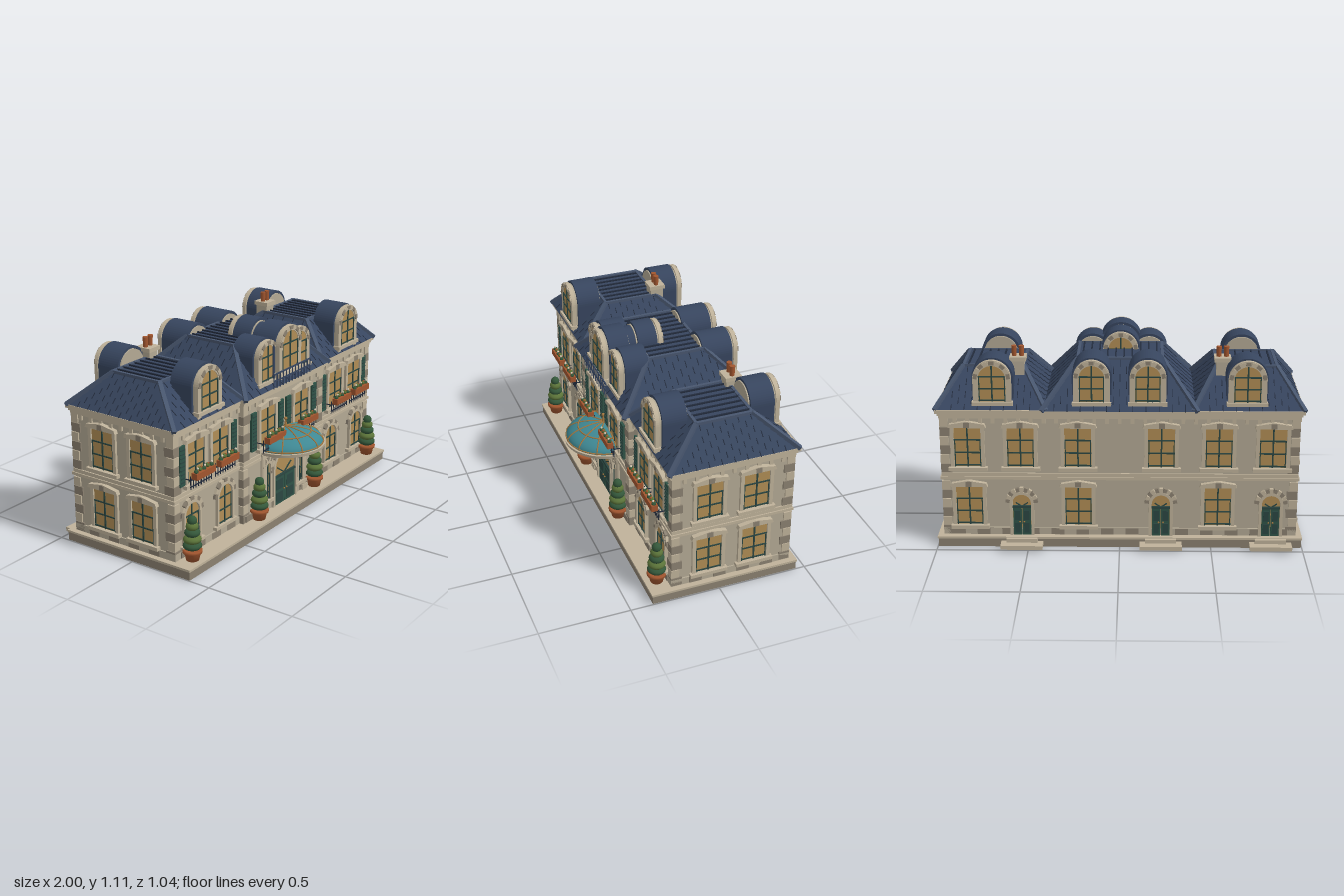
import * as THREE from 'three';
import { mergeGeometries } from 'three/addons/utils/BufferGeometryUtils.js';

const mats = {};
const mat = (c) => (mats[c] ??= new THREE.MeshStandardMaterial({ color: c, side: THREE.DoubleSide }));
const WALL = 0xb3a994, TRIM = 0xbfb29a, DARK = 0x8b8171, GLASS = 0xb08d55, BAR = 0x2b4642, SLATE = 0x37455e,
  SEAM = 0x232c3d, TEAL = 0x3f8893, DOOR = 0x2f5347, CLAY = 0xa2562f, LEAF = 0x5b7339, LEAF2 = 0x34573a, GOLD = 0xa37740;

function add(parent, name, geo, color, x = 0, y = 0, z = 0) {
  const m = new THREE.Mesh(geo, mat(color));
  m.name = name;
  m.position.set(x, y, z);
  parent.add(m);
  return m;
}
// box given by its centre in x and z and by its bottom in y
const box = (p, name, c, w, h, d, x, y, z) => add(p, name, new THREE.BoxGeometry(w, h, d), c, x, y + h / 2, z);
function group(parent, name, x = 0, y = 0, z = 0, ry = 0) {
  const g = new THREE.Group();
  g.name = name;
  g.position.set(x, y, z);
  g.rotation.y = ry;
  parent.add(g);
  return g;
}
const extrude = (shape, depth) => new THREE.ExtrudeGeometry(shape, { depth, bevelEnabled: false, curveSegments: 14 });

// round-headed shape of width w and height h, and the band of thickness t around it
function arch(w, h) {
  const s = new THREE.Shape();
  s.moveTo(-w / 2, 0).lineTo(w / 2, 0).lineTo(w / 2, h - w / 2);
  s.absarc(0, h - w / 2, w / 2, 0, Math.PI, false);
  return s;
}
function archBand(w, h, t) {
  const s = new THREE.Shape(), k = h - w / 2;
  s.moveTo(-w / 2 - t, 0).lineTo(-w / 2 - t, k);
  s.absarc(0, k, w / 2 + t, Math.PI, 0, true);
  s.lineTo(w / 2 + t, 0).lineTo(w / 2, 0).lineTo(w / 2, k);
  s.absarc(0, k, w / 2, 0, Math.PI, false);
  s.lineTo(-w / 2, 0);
  return s;
}
function muntins(g, w, h, z, rows) {
  box(g, 'glazingBar', BAR, 0.008, h, 0.008, 0, 0, z);
  for (const s of [-1, 1]) box(g, 'glazingBar', BAR, 0.005, h * 0.68, 0.008, s * w * 0.47, 0, z);
  rows.forEach((r) => box(g, 'glazingBar', BAR, w, 0.007, 0.008, 0, h * r, z));
}
function voussoirs(g, w, h, t, z, n = 9) {
  const r = w / 2 + t / 2;
  for (let i = 0; i < n; i++) {
    const a = (Math.PI * (i + 0.5)) / n;
    const b = add(g, 'archStone', new THREE.BoxGeometry(t, (r * Math.PI) / n - 0.003, 0.02), i % 2 ? TRIM : DARK,
      Math.cos(a) * r, h - w / 2 + Math.sin(a) * r, z);
    b.rotation.z = a;
  }
}

function rectWindow(parent, x, y, z, ry, w = 0.145, h = 0.225) {
  const g = group(parent, 'window', x, y, z, ry);
  box(g, 'pane', GLASS, w, h, 0.012, 0, 0, 0);
  muntins(g, w, h, 0.007, [0.02, 0.34, 0.66, 0.98]);
  for (const s of [-1, 1]) box(g, 'jamb', TRIM, 0.02, h, 0.03, s * (w / 2 + 0.01), 0, 0);
  box(g, 'sill', TRIM, w + 0.065, 0.02, 0.055, 0, -0.022, 0);
  const k = w / 2, p = new THREE.Shape([[-k - 0.03, 0], [k + 0.03, 0], [k + 0.022, 0.02], [0, 0.036], [-k - 0.022, 0.02]]
    .map((q) => new THREE.Vector2(...q)));
  add(g, 'pediment', extrude(p, 0.036), TRIM, 0, h, -0.01);
  box(g, 'keystone', DARK, 0.032, 0.03, 0.035, 0, h + 0.002, 0.012);
}
function archWindow(parent, x, y, z, ry, w = 0.12, h = 0.22) {
  const g = group(parent, 'archedWindow', x, y, z, ry);
  add(g, 'pane', extrude(arch(w, h), 0.006), GLASS);
  muntins(g, w, h, 0.007, [0.02, 0.35, 0.68]);
  add(g, 'surround', extrude(archBand(w, h, 0.014), 0.018), TRIM);
  voussoirs(g, w + 0.024, h + 0.012, 0.022, 0.006);
  box(g, 'sill', TRIM, w + 0.07, 0.018, 0.05, 0, -0.018, 0);
}
function archDoor(parent, x, z, ry, w, h, leaf) {
  const g = group(parent, 'door', x, 0.06, z, ry);
  add(g, 'fanlight', extrude(arch(w, h), 0.006), GLASS);
  for (const s of [-1, 1]) {
    box(g, 'doorLeaf', DOOR, w / 2 - 0.004, leaf, 0.02, s * w / 4, 0, 0.004);
    for (const q of [0.08, 0.55]) box(g, 'doorPanel', BAR, w / 3.4, leaf * 0.36, 0.006, s * w / 4, leaf * q, 0.014);
    add(g, 'knob', new THREE.SphereGeometry(0.005, 8, 6), GOLD, s * 0.012, leaf * 0.5, 0.02);
    const ray = box(g, 'fanBar', BAR, w * 0.36, 0.006, 0.008, s * w * 0.18, leaf + w * 0.16, 0.008);
    ray.rotation.z = s * 0.6;
  }
  box(g, 'transom', BAR, w, 0.012, 0.026, 0, leaf, 0.004);
  add(g, 'surround', extrude(archBand(w, h, 0.016), 0.022), TRIM);
  voussoirs(g, w + 0.028, h + 0.014, 0.025, 0.01, 11);
}
function shutter(parent, x, z) {
  const g = group(parent, 'shutter', x, 0.46, z);
  box(g, 'shutterPanel', DOOR, 0.045, 0.22, 0.014, 0, 0, 0.006);
  for (let i = 0; i < 9; i++) box(g, 'slat', BAR, 0.034, 0.006, 0.006, 0, 0.02 + i * 0.022, 0.014);
}
function flowerBox(parent, x, z) {
  const g = group(parent, 'flowerBox', x, 0.44, z);
  box(g, 'planter', CLAY, 0.16, 0.035, 0.035, 0, 0.055, 0.06);
  for (const y of [0.012, 0.05]) box(g, 'rail', SEAM, 0.18, 0.005, 0.005, 0, y, 0.042);
  for (const s of [-1, 1]) box(g, 'bracket', SEAM, 0.005, 0.005, 0.045, s * 0.088, 0.05, 0.022);
  for (let i = 0; i < 9; i++) box(g, 'baluster', SEAM, 0.004, 0.075, 0.004, -0.088 + i * 0.022, 0.0, 0.042);
  for (let i = 0; i < 5; i++) {
    add(g, 'leaves', new THREE.IcosahedronGeometry(0.014, 0), i % 2 ? LEAF : LEAF2, -0.064 + i * 0.032, 0.095 + (i % 2) * 0.008, 0.06);
    add(g, 'bloom', new THREE.IcosahedronGeometry(0.007, 0), i % 2 ? CLAY : 0xd8cdb8, -0.056 + i * 0.03, 0.112, 0.064);
  }
}

// round-topped dormer facing +z; its back ends `len` behind the front
function dormer(parent, x, y, z, ry, w, h, len) {
  const g = group(parent, 'dormer', x, y, z, ry), gw = w - 0.065;
  add(g, 'dormerBody', extrude(arch(w - 0.02, h - 0.01), len), WALL, 0, 0, -len);
  add(g, 'dormerRoof', extrude(archBand(w - 0.016, h - 0.008, 0.014), len - 0.03), SLATE, 0, 0, -len + 0.006);
  add(g, 'dormerTrim', extrude(archBand(gw, h - 0.03, 0.03), 0.022), TRIM, 0, 0, -0.012);
  const win = group(g, 'dormerWindow', 0, 0.04, 0.002);
  add(win, 'pane', extrude(arch(gw, h - 0.07), 0.004), GLASS);
  muntins(win, gw, h - 0.07, 0.005, [0.02, 0.35, 0.68]);
  voussoirs(g, gw + 0.012, h - 0.024, 0.02, 0.006);
  box(g, 'dormerSill', TRIM, w + 0.01, 0.02, 0.04, 0, 0.02, 0.002);
}

// thin bar between two points
function barGeo(p, q, w, t = w) {
  const o = new THREE.Object3D();
  o.position.copy(p).add(q).multiplyScalar(0.5);
  o.lookAt(q);
  o.updateMatrix();
  return new THREE.BoxGeometry(w, t, p.distanceTo(q)).applyMatrix4(o.matrix);
}
// hipped roof in overlapping slate courses; b and t are [x0, x1, z0, z1]
function hipRoof(parent, b, t, y0, y1, n = 7) {
  const g = group(parent, 'hipRoof');
  const ring = (k, e) => {
    const [x0, x1, z0, z1] = b.map((v, i) => v + (t[i] - v) * k + (i % 2 ? e : -e)), y = y0 + (y1 - y0) * k;
    return [[x0, z1], [x1, z1], [x1, z0], [x0, z0]].map(([x, z]) => new THREE.Vector3(x, y, z));
  };
  const rings = [], pos = [], joints = [];
  const tri = (...v) => v.forEach((p) => pos.push(p.x, p.y, p.z));
  for (let i = 0; i < n; i++) rings.push(ring(i / n, 0.007), ring((i + 1) / n, 0));
  for (let r = 0; r < rings.length - 1; r++) for (let i = 0; i < 4; i++) {
    const j = (i + 1) % 4, [lo, up] = [rings[r], rings[r + 1]];
    tri(lo[i], lo[j], up[j], lo[i], up[j], up[i]);
    if (r % 2) continue;
    // staggered joints of the slates
    const axis = lo[j].clone().sub(lo[i]).normalize(), half = up[i].distanceTo(up[j]) / 2 - 0.01;
    for (let s = -0.42 + (r % 4) * 0.0175; s < half; s += 0.07) {
      if (s < -half) continue;
      const at = (q) => q[i].clone().add(q[j]).multiplyScalar(0.5).addScaledVector(axis, s);
      joints.push(barGeo(at(lo), at(up), 0.004));
    }
  }
  const top = rings[rings.length - 1], foot = rings[0];
  tri(top[0], top[1], top[2], top[0], top[2], top[3]);
  const geo = new THREE.BufferGeometry();
  geo.setAttribute('position', new THREE.Float32BufferAttribute(pos, 3));
  geo.computeVertexNormals();
  add(g, 'slates', geo, SLATE);
  add(g, 'slateJoints', mergeGeometries(joints), SEAM);
  const hips = foot.map((p, i) => barGeo(p, top[i], 0.022)).concat(top.map((p, i) => barGeo(p, top[(i + 1) % 4], 0.016)));
  add(g, 'hipCaps', mergeGeometries(hips), 0x48566e);
  for (let x = t[0] + 0.03; x < t[1]; x += 0.045) box(g, 'standingSeam', SEAM, 0.008, 0.01, t[3] - t[2], x, y1 - 0.002, (t[2] + t[3]) / 2);
}

function topiary(parent, x) {
  const g = group(parent, 'topiary', x, 0.06, 0.315);
  const prof = [[0, 0], [0.034, 0], [0.044, 0.042], [0.052, 0.044], [0.052, 0.058], [0.042, 0.058], [0, 0.05]];
  add(g, 'pot', new THREE.LatheGeometry(prof.map((p) => new THREE.Vector2(...p)), 20), CLAY);
  [[0.051, 0.082], [0.049, 0.118], [0.042, 0.155], [0.034, 0.19], [0.026, 0.222]].forEach(([r, y], i) => {
    add(g, 'foliage', new THREE.SphereGeometry(r, 16, 10), i % 2 ? LEAF : LEAF2, 0, y, 0).scale.y = 0.026 / r;
  });
}

export function createModel() {
  const root = new THREE.Group();
  root.name = 'mansion';
  const F = 0.255, B = -0.41, C = 0.28, X = 0.96, PX = 0.39, PI = Math.PI;

  // terrace and rear steps
  box(root, 'terrace', DARK, 1.99, 0.05, 0.825, 0, 0, -0.0375);
  box(root, 'terraceEdge', TRIM, 2, 0.012, 0.835, 0, 0.048, -0.0375);
  for (const x of [-0.825, -0.225, 0.535]) {
    box(root, 'lowerStep', TRIM, 0.23, 0.022, 0.09, x, 0.012, -0.475);
    box(root, 'upperStep', TRIM, 0.17, 0.022, 0.06, x, 0.034, -0.445);
  }

  // walls and horizontal courses: full body plus the projecting centre
  const layer = (name, c, y, h, e) => {
    box(root, name, c, 2 * (X + e), h, F - B + 2 * e, 0, y, (F + B) / 2);
    box(root, name, c, 2 * (PX + e), h, C + e, 0, y, (C + e) / 2);
  };
  layer('walls', WALL, 0.06, 0.71, 0);
  layer('plinth', WALL, 0.06, 0.04, 0.008);
  layer('beltCourse', TRIM, 0.385, 0.016, 0.014);
  layer('beltCourse', TRIM, 0.401, 0.02, 0.008);
  layer('frieze', TRIM, 0.735, 0.016, 0.01);
  layer('cornice', TRIM, 0.751, 0.015, 0.017);
  layer('cornice', TRIM, 0.766, 0.02, 0.028);

  // dentils and plinth stones
  const edge = (x, z, alongX, i) => {
    box(root, 'dentil', TRIM, 0.02, 0.03, 0.02, x, 0.708, z);
    if (i % 2) box(root, 'plinthStone', DARK, alongX ? 0.07 : 0.024, 0.036, alongX ? 0.024 : 0.07, x, 0.062, z);
  };
  for (let i = -13; i <= 13; i++) {
    const x = i * 0.068;
    edge(x, B, true, i);
    if (Math.abs(x) > 0.14) edge(x, Math.abs(x) < PX ? C : F, true, i);
  }
  for (let i = 0; i < 9; i++) for (const s of [-1, 1]) edge(s * X, -0.35 + i * 0.068, false, i);

  // quoins
  const quoins = (x, z, sx, sz) => {
    for (const [y0, n] of [[0.062, 6], [0.424, 6]]) for (let i = 0; i < n; i++) {
      const s = i % 2 ? 0.045 : 0.06;
      box(root, 'quoin', i % 2 ? TRIM : DARK, s, 0.049, s, x + sx * (0.008 - s / 2), y0 + i * 0.0525, z + sz * (0.008 - s / 2));
    }
  };
  for (const s of [-1, 1]) {
    quoins(s * X, F, s, 1);
    quoins(s * X, B, s, -1);
    quoins(s * PX, C, s, 1);
  }

  for (const s of [-1, 1]) {
    // side windows
    for (const z of [0.055, -0.205]) for (const y of [0.12, 0.46]) rectWindow(root, s * X, y, z, s * PI / 2);
    // front windows, shutters and flower boxes
    for (const x of [0.825, 0.535]) archWindow(root, s * x, 0.125, F, 0);
    for (const [x, z] of [[0.785, F], [0.575, F], [0.167, C]]) {
      rectWindow(root, s * x, 0.46, z, 0, 0.14);
      flowerBox(root, s * x, z);
    }
    for (const [x, z] of [[0.9, F], [0.45, F], [0.3, C], [0.038, C]]) shutter(root, s * x, z);
    archWindow(root, s * 0.165, 0.125, C, 0, 0.04, 0.22);
    // entrance columns
    add(root, 'column', new THREE.CylinderGeometry(0.016, 0.019, 0.34, 16), TRIM, s * 0.207, 0.24, C + 0.002);
    box(root, 'columnBase', TRIM, 0.05, 0.03, 0.04, s * 0.207, 0.06, C);
    box(root, 'columnCapital', TRIM, 0.05, 0.03, 0.04, s * 0.207, 0.385, C);
    topiary(root, s * 0.89);
    topiary(root, s * 0.283);
    // wing roofs, dormers and chimneys
    const span = (a, b) => (s > 0 ? [a, b] : [-b, -a]);
    hipRoof(root, [...span(0.4, 0.98), -0.425, 0.28], [...span(0.525, 0.85), -0.215, 0.09], 0.784, 0.97);
    dormer(root, s * 0.68, 0.785, 0.27, 0, 0.21, 0.268, 0.165);
    dormer(root, s * 0.68, 0.785, -0.395, PI, 0.21, 0.268, 0.165);
    dormer(root, s * 0.15, 0.785, -0.395, PI, 0.2, 0.27, 0.2);
    dormer(root, s * 0.16, 0.785, 0.275, 0, 0.19, 0.268, 0.165);
    const ch = group(root, 'chimney', s * 0.553, 0, -0.225);
    box(ch, 'stack', WALL, 0.07, 0.2, 0.075, 0, 0.82, 0);
    box(ch, 'chimneyCap', TRIM, 0.09, 0.022, 0.092, 0, 1.008, 0);
    for (const d of [-1, 1]) add(ch, 'chimneyPot', new THREE.CylinderGeometry(0.015, 0.013, 0.056, 14), CLAY, d * 0.02, 1.058, 0);
  }

  // rear facade
  for (const x of [0.82, 0.535, 0.225, -0.225, -0.535, -0.825]) {
    rectWindow(root, x, 0.46, B, PI);
    if ([0.535, -0.225, -0.825].includes(x)) archDoor(root, x, B, PI, 0.1, 0.24, 0.16);
    else rectWindow(root, x, 0.12, B, PI);
  }

  // centre roof with the tall double-ended dormer
  hipRoof(root, [-0.41, 0.41, -0.435, 0.312], [-0.23, 0.23, -0.21, 0.11], 0.784, 1.01);
  dormer(root, 0, 0.815, 0.312, 0, 0.22, 0.29, 0.145);
  dormer(root, 0, 0.815, -0.015, PI, 0.2, 0.29, 0.14);
  add(root, 'dormerLink', extrude(arch(0.17, 0.275), 0.08), SLATE, 0, 0.815, 0.11);
  for (const y of [0.83, 0.868]) box(root, 'roofRail', SLATE, 0.36, 0.007, 0.007, 0, y, 0.336);
  for (let i = 0; i <= 12; i++) box(root, 'roofRailPost', SLATE, 0.005, 0.08, 0.005, -0.18 + i * 0.03, 0.79, 0.336);

  // main door and glazed canopy
  archDoor(root, 0, C, 0, 0.21, 0.32, 0.165);
  const can = group(root, 'canopy', 0, 0.43, 0.29);
  add(can, 'canopyRim', new THREE.CylinderGeometry(0.23, 0.226, 0.018, 36, 1, false, -PI / 2, PI), TRIM, 0, -0.009, 0);
  add(can, 'canopyGlass', new THREE.SphereGeometry(1, 32, 10, 0, PI, 0, PI / 2), TEAL).scale.set(0.216, 0.085, 0.218);
  const rib = (f) => add(can, 'canopyRib', new THREE.TubeGeometry(new THREE.CatmullRomCurve3(
    Array.from({ length: 11 }, (_, i) => f(i / 10))), 20, 0.004, 6), GOLD);
  const onDome = (phi, th) => new THREE.Vector3(0.217 * Math.cos(phi) * Math.sin(th), 0.086 * Math.cos(th), 0.219 * Math.sin(phi) * Math.sin(th));
  for (let k = 0; k <= 6; k++) rib((t) => onDome((k * PI) / 6, (t * PI) / 2));
  for (const th of [0.75, 1.5]) rib((t) => onDome(t * PI, th));
  add(can, 'finial', new THREE.CylinderGeometry(0.003, 0.01, 0.05, 10), GOLD, 0, 0.105, 0.006);
  add(can, 'finialBall', new THREE.SphereGeometry(0.01, 12, 8), GOLD, 0, 0.13, 0.006);
  return root;
}
